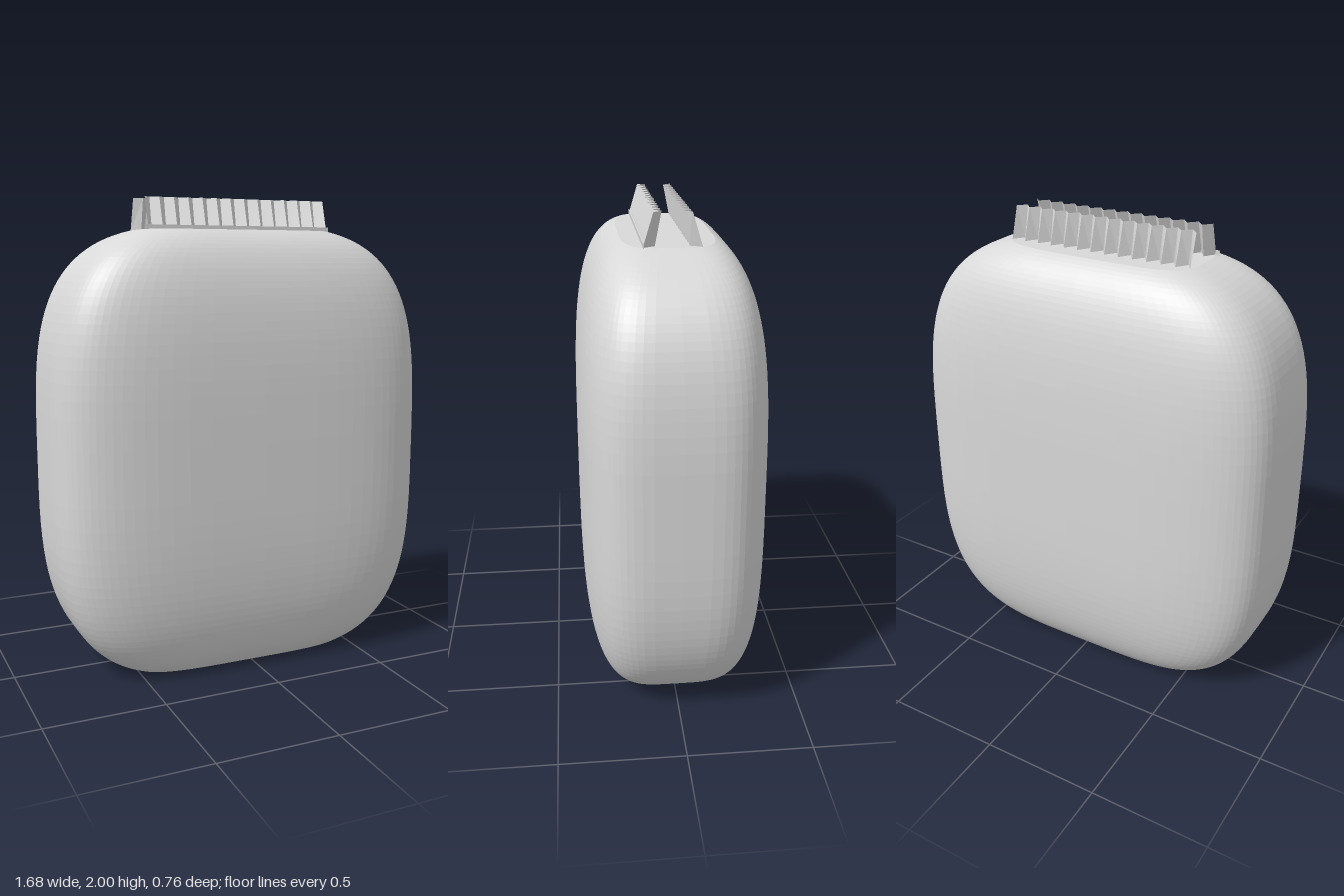
import * as THREE from 'three';

const HALF_W = 0.84, HALF_D = 0.379, HALF_H = 0.973, MID_Y = 0.921, TOP_Y = 1.868;
const SIDE_POWER = 3.5, RING_POWER = 4.1;

const grey = new THREE.MeshStandardMaterial({ color: 0xd8d8d8, flatShading: true, side: THREE.DoubleSide });
grey.name = 'packGrey';

const superPow = (v, power) => Math.sign(v) * Math.abs(v) ** (2 / power);

// Pillow-shaped body: rounded-rectangle rings stacked between two flat ends
function bodyGeometry(around = 80, rows = 48) {
  const angleAt = (y) => {
    const t = (y - MID_Y) / HALF_H;
    return Math.sign(t) * Math.asin(Math.abs(t) ** (SIDE_POWER / 2));
  };
  const low = angleAt(0), high = angleAt(TOP_Y);
  const pos = [], index = [];
  for (let j = 0; j <= rows; j++) {
    const p = low + (high - low) * j / rows;
    const y = MID_Y + HALF_H * superPow(Math.sin(p), SIDE_POWER);
    const s = superPow(Math.cos(p), SIDE_POWER);
    for (let i = 0; i < around; i++) {
      const a = i / around * Math.PI * 2;
      pos.push(HALF_W * s * superPow(Math.cos(a), RING_POWER), y, HALF_D * s * superPow(Math.sin(a), RING_POWER));
    }
  }
  for (let j = 0; j < rows; j++) {
    for (let i = 0; i < around; i++) {
      const a = j * around + i, b = j * around + (i + 1) % around;
      index.push(a, a + around, b, b, a + around, b + around);
    }
  }
  // Flat bottom and top
  const bottom = pos.length / 3, top = bottom + 1, last = rows * around;
  pos.push(0, 0, 0, 0, TOP_Y, 0);
  for (let i = 0; i < around; i++) {
    const n = (i + 1) % around;
    index.push(bottom, i, n, top, last + n, last + i);
  }
  const g = new THREE.BufferGeometry();
  g.setAttribute('position', new THREE.Float32BufferAttribute(pos, 3));
  g.setIndex(index);
  g.computeVertexNormals();
  return g;
}

// Pleated strip that leans inward toward its upper edge
function crimpGeometry(side) {
  const pleats = 13, height = 2 - TOP_Y;
  const g = new THREE.PlaneGeometry(0.825, height, pleats * 2, 1);
  const p = g.attributes.position;
  for (let i = 0; i < p.count; i++) {
    const outer = (i % (pleats * 2 + 1)) % 2 === 0;
    const upper = p.getY(i) > 0;
    const z = upper ? (outer ? 0.074 : 0.04) : (outer ? 0.114 : 0.066);
    p.setXYZ(i, p.getX(i), upper ? 2 : TOP_Y, side * z);
  }
  if (side < 0) g.index.array.reverse();
  g.computeVertexNormals();
  return g;
}

export function createModel() {
  const model = new THREE.Group();
  model.name = 'pillowPack';
  const add = (name, geometry, x = 0, y = 0, z = 0) => {
    const mesh = new THREE.Mesh(geometry, grey);
    mesh.name = name;
    mesh.position.set(x, y, z);
    model.add(mesh);
  };

  add('body', bodyGeometry());
  add('frontCrimp', crimpGeometry(1));
  add('backCrimp', crimpGeometry(-1));

  // Narrow tear strip at the foot of the front crimp
  add('tearStrip', new THREE.BoxGeometry(0.85, 0.02, 0.004), -0.003, 1.876, 0.112);

  return model;
}
